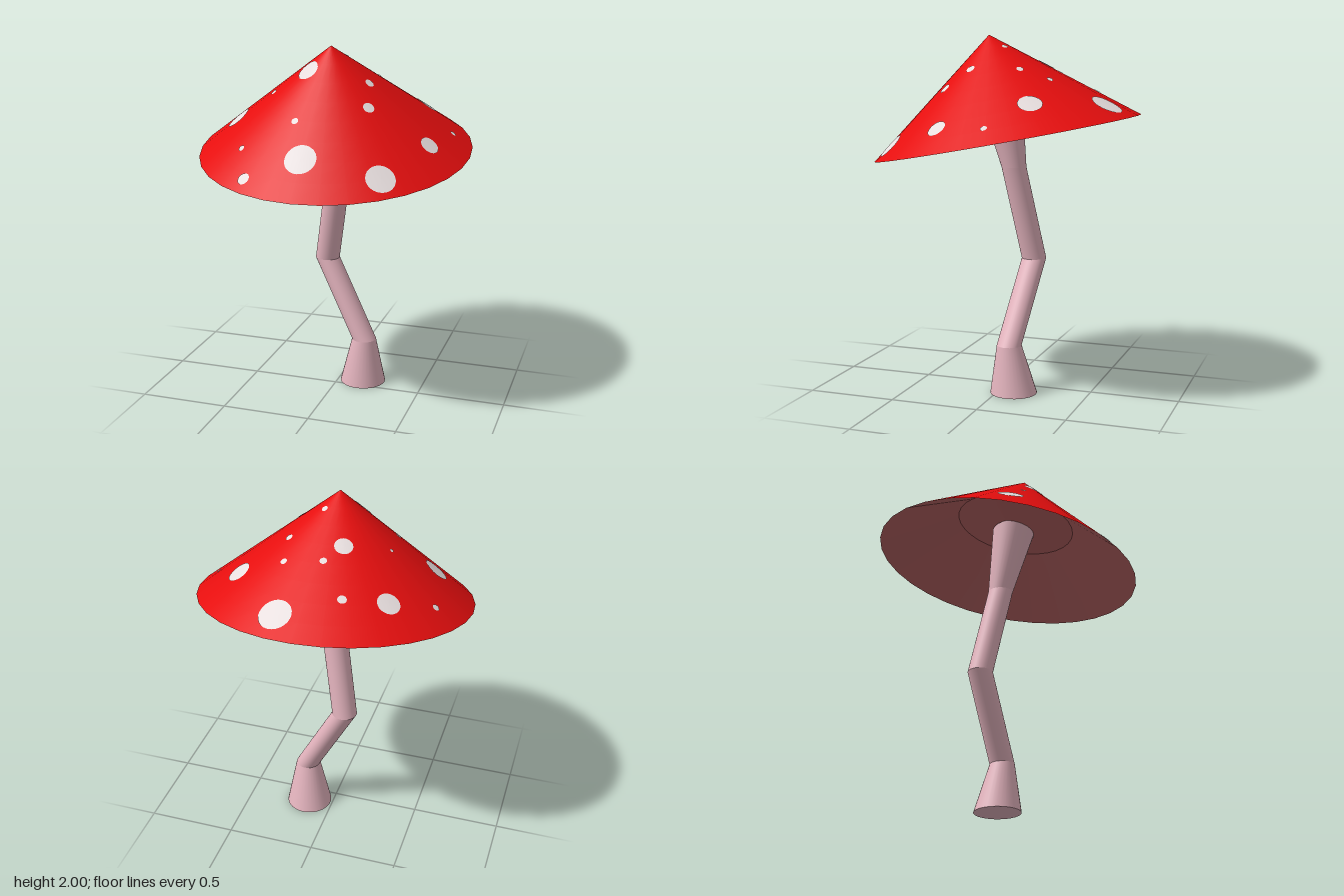
import * as THREE from 'three';

const R = 0.757, H = 0.582;            // cap cone radius and height
const SLANT = Math.hypot(R, H), SIN = R / SLANT, COS = H / SLANT;

const mat = (name, color, side = THREE.FrontSide) => {
  const m = new THREE.MeshStandardMaterial({ color, side });
  m.name = name;
  return m;
};

function addMesh(parent, name, geometry, material) {
  const mesh = new THREE.Mesh(geometry, material);
  mesh.name = name;
  parent.add(mesh);
  return mesh;
}

// Open tube between two level rings [x, y, z, radius]
function stemSection(a, b) {
  const h = b[1] - a[1];
  const g = new THREE.CylinderGeometry(b[3], a[3], h, 32, 1, true);
  const p = g.attributes.position, n = g.attributes.normal;
  const sx = (b[0] - a[0]) / h, sz = (b[2] - a[2]) / h;
  for (let i = 0; i < p.count; i++) {
    const y = p.getY(i) + h / 2;
    p.setXYZ(i, p.getX(i) + a[0] + sx * y, y + a[1], p.getZ(i) + a[2] + sz * y);
    // sheared normals stay smooth across the seam
    const v = new THREE.Vector3(n.getX(i), n.getY(i) - sx * n.getX(i) - sz * n.getZ(i), n.getZ(i)).normalize();
    n.setXYZ(i, v.x, v.y, v.z);
  }
  return g;
}

// Round patch wrapped on the cone, around a slant distance and an angle
function spotGeometry(slant, angle, radius) {
  const g = new THREE.RingGeometry(0, radius, 24, 3);
  const p = g.attributes.position, lift = 0.003;
  for (let i = 0; i < p.count; i++) {
    const u = slant + p.getX(i), v = p.getY(i);
    const s = Math.min(Math.hypot(u, v), SLANT);
    const a = angle + Math.atan2(v, u) / SIN;
    const r = s * SIN + lift * COS;
    p.setXYZ(i, r * Math.sin(a), H - s * COS + lift * SIN, r * Math.cos(a));
  }
  g.computeVertexNormals();
  return g;
}

export function createModel() {
  const model = new THREE.Group();
  model.name = 'mushroom';
  const red = mat('capRed', 0xe60e0e);
  const white = mat('spotWhite', 0xe8dfdf, THREE.DoubleSide);
  const pink = mat('stemPink', 0xe3b3bd);
  const gill = mat('gillBrownPink', 0xb56262, THREE.DoubleSide);

  // Crooked stem
  const stem = new THREE.Group();
  stem.name = 'stem';
  model.add(stem);
  const rings = [
    [0.143, 0, -0.088, 0.132],
    [0.155, 0.275, -0.065, 0.07],
    [-0.09, 0.735, -0.13, 0.07],
    [0.003, 1.265, -0.04, 0.07],
    [0.005, 1.67, 0.042, 0.125],
  ];
  for (let i = 0; i < rings.length - 1; i++)
    addMesh(stem, 'stemSection' + (i + 1), stemSection(rings[i], rings[i + 1]), pink);
  const base = addMesh(stem, 'stemBase', new THREE.CircleGeometry(0.132, 32), pink);
  base.rotation.x = Math.PI / 2;
  base.position.set(0.143, 0, -0.088);

  // Tilted conical cap
  const cap = new THREE.Group();
  cap.name = 'cap';
  cap.position.set(0, 1.4275, 0);
  cap.rotation.set(0.183, 0, -0.015);
  model.add(cap);
  const cone = new THREE.ConeGeometry(R, H, 32, 8, true);
  cone.translate(0, H / 2, 0);
  addMesh(cap, 'capTop', cone, red);

  // Hollow underside: sloping band and inner hub
  const lathe = (...pts) => new THREE.LatheGeometry(pts.map(([x, y]) => new THREE.Vector2(x, y)), 32);
  addMesh(cap, 'gillBand', lathe([0.344, 0.28], [R, 0]), gill);
  addMesh(cap, 'gillHub', lathe([0, 0.22], [0.344, 0.28]), gill);

  // Spots: x, z seen from above, and radius
  const spots = [
    [0.13, -0.605, 0.088], [-0.39, -0.38, 0.062], [-0.175, -0.47, 0.024],
    [-0.025, -0.3, 0.019], [0.185, -0.305, 0.018], [0.445, -0.28, 0.066],
    [0.21, -0.145, 0.02], [0.64, -0.1, 0.018], [-0.595, -0.21, 0.02],
    [-0.1, -0.195, 0.049], [-0.315, -0.05, 0.011], [0.06, -0.005, 0.017],
    [-0.515, 0.145, 0.073], [-0.295, 0.168, 0.019], [-0.093, 0.187, 0.062],
    [0.23, 0.13, 0.025], [0.575, 0.185, 0.053], [0.265, 0.265, 0.031],
    [-0.37, 0.46, 0.018], [-0.085, 0.42, 0.019], [-0.003, 0.575, 0.085],
    [0.407, 0.528, 0.079], [-0.295, 0.625, 0.034],
  ];
  cap.updateMatrixWorld(true);
  const inverse = cap.matrixWorld.clone().invert();
  spots.forEach(([x, z, radius], i) => {
    // drop the spot straight down onto the cone by bisection
    let lo = 1.2, hi = 2.1;
    const q = new THREE.Vector3();
    for (let k = 0; k < 30; k++) {
      const y = (lo + hi) / 2;
      q.set(x, y, z).applyMatrix4(inverse);
      if (q.y > H * (1 - Math.hypot(q.x, q.z) / R)) hi = y; else lo = y;
    }
    const slant = Math.hypot(q.x, q.z) / SIN;
    addMesh(cap, 'spot' + (i + 1), spotGeometry(slant, Math.atan2(q.x, q.z), radius), white);
  });

  return model;
}
